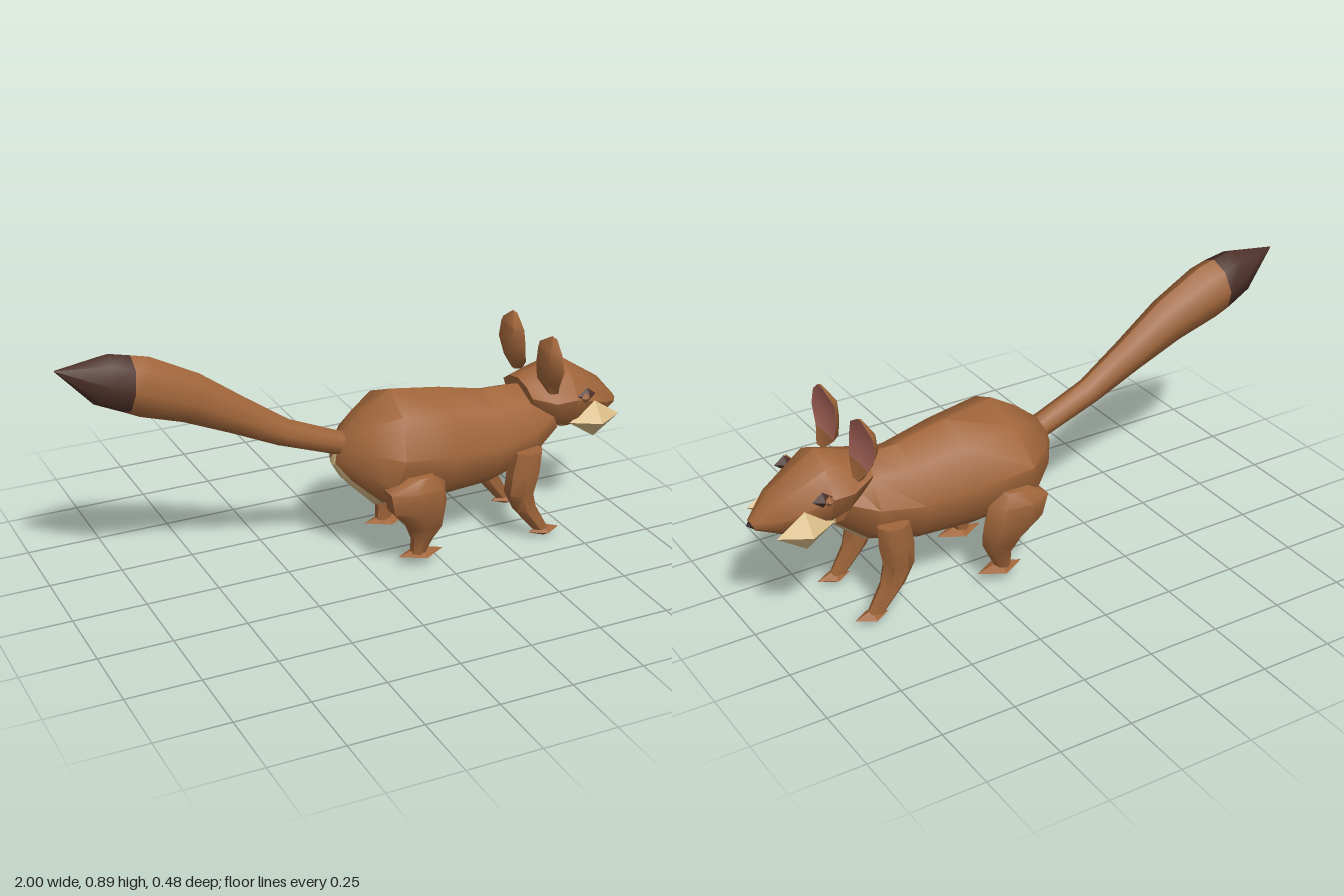
import * as THREE from 'three';
import { toCreasedNormals } from 'three/addons/utils/BufferGeometryUtils.js';

const mat = (name, color) => {
  const m = new THREE.MeshStandardMaterial({ color });
  m.name = name;
  return m;
};
const V = (x, y, z) => new THREE.Vector3(x, y, z);

// Skin a profile over rings {c, a, b}; a and b are the half-axes of each ring.
// paint(i, j) picks the material of the face after ring i and profile point j.
function loft(name, rings, profile, materials, paint = () => 0) {
  const n = profile.length, last = rings.length - 1;
  const axis = rings[last].c.clone().sub(rings[0].c);
  const flip = rings[1].a.clone().cross(rings[1].b).dot(axis) < 0;
  const pos = [], faces = materials.map(() => []);
  rings.forEach(({ c, a, b }) => profile.forEach(([u, v]) => {
    const p = c.clone().addScaledVector(a, v).addScaledVector(b, u);
    pos.push(p.x, p.y, p.z);
  }));
  rings.forEach(({ c }) => pos.push(c.x, c.y, c.z));
  const tri = (m, p, q, r) => faces[m].push(...(flip ? [p, r, q] : [p, q, r]));
  for (let j = 0; j < n; j++) {
    const k = (j + 1) % n, end = last * n, pole = (last + 1) * n;
    for (let i = 0; i < last; i++) {
      const m = paint(i, j), p = i * n + j, q = i * n + k;
      tri(m, p, q, q + n);
      tri(m, p, q + n, p + n);
    }
    tri(paint(0, j), pole, k, j);
    tri(paint(last - 1, j), pole + last, end + j, end + k);
  }
  const geo = new THREE.BufferGeometry();
  geo.setAttribute('position', new THREE.Float32BufferAttribute(pos, 3));
  geo.setIndex(faces.flat());
  let start = 0;
  faces.forEach((f, m) => { geo.addGroup(start, f.length, m); start += f.length; });
  const mesh = new THREE.Mesh(toCreasedNormals(geo, 0.85), materials);
  mesh.name = name;
  return mesh;
}

// Ring from its top point, bottom point and half-width
const spineRing = ([tx, ty, bx, by, w]) => ({
  c: V((tx + bx) / 2, (ty + by) / 2, 0), a: V((tx - bx) / 2, (ty - by) / 2, 0), b: V(0, 0, w),
});
// Level ring for limbs and ears
const levelRing = (s) => ([x, y, z, rx, rz]) => ({ c: V(x, y, z * s), a: V(rx, 0, 0), b: V(0, 0, rz * s) });
const circle = (n) => Array.from({ length: n }, (_, i) => {
  const t = (i / n) * Math.PI * 2;
  return [Math.sin(t), Math.cos(t)];
});
const mirrorProfile = (half) => [...half, ...half.slice(1).reverse().map(([u, v]) => [-u, v])];

export function createModel() {
  const fur = mat('brown fur', 0xa0653a);
  const cream = mat('cream fur', 0xd9bd88);
  const dark = mat('dark brown', 0x4b2f27);
  const pink = mat('ear pink', 0xb56c60);
  const black = mat('nose dark', 0x2e1c19);
  const model = new THREE.Group();

  const gem = (name, material, [x, y, z], [sx, sy, sz], yaw = 0) => {
    const geo = new THREE.OctahedronGeometry(1).scale(sx, sy, sz).rotateY(yaw);
    geo.translate(x, y, z);
    geo.computeVertexNormals();
    const mesh = new THREE.Mesh(geo, material);
    mesh.name = name;
    model.add(mesh);
  };

  // Body and head with a cream underside
  const trunk = mirrorProfile([[0, 1], [0.6, 0.72], [1, 0.1], [0.85, -0.5], [0.5, -0.85], [0.25, -1]]);
  const underside = (i, j) => (j >= 4 && j <= 6 ? 1 : 0);
  model.add(loft('body', [
    [-0.05, 0.48, -0.09, 0.37, 0.045],
    [0.03, 0.545, -0.05, 0.305, 0.13],
    [0.12, 0.6, 0.04, 0.215, 0.205],
    [0.3, 0.573, 0.25, 0.195, 0.195],
    [0.47, 0.535, 0.45, 0.203, 0.17],
    [0.6, 0.53, 0.62, 0.25, 0.145],
    [0.66, 0.51, 0.73, 0.34, 0.11],
  ].map(spineRing), trunk, [fur, cream], underside));
  model.add(loft('head', [
    [0.605, 0.55, 0.61, 0.46, 0.1],
    [0.68, 0.58, 0.7, 0.37, 0.13],
    [0.76, 0.605, 0.77, 0.35, 0.138],
    [0.92, 0.5, 0.9, 0.355, 0.085],
    [0.99, 0.42, 0.975, 0.385, 0.025],
  ].map(spineRing), trunk, [fur, cream], underside));
  gem('nose', black, [0.975, 0.405, 0], [0.025, 0.02, 0.03]);

  // Tail, thickening toward a dark pointed tip
  model.add(loft('tail', [
    [-0.03, 0.47, -0.06, 0.395, 0.04],
    [-0.24, 0.56, -0.28, 0.475, 0.042],
    [-0.39, 0.665, -0.44, 0.55, 0.054],
    [-0.54, 0.775, -0.6, 0.62, 0.07],
    [-0.7, 0.86, -0.74, 0.665, 0.083],
    [-0.76, 0.875, -0.79, 0.69, 0.085],
    [-0.83, 0.892, -0.885, 0.735, 0.068],
    [-1, 0.867, -1, 0.863, 0.003],
  ].map(spineRing), circle(8), [fur, dark], (i) => (i >= 5 ? 1 : 0)));

  const earProfile = [[0, 0.2], [1, 0.4], [0.55, -1], [-0.55, -1], [-1, 0.4]];
  for (const [side, s] of [['left', 1], ['right', -1]]) {
    const ring = levelRing(s);

    // Ear: pink cupped front, brown back and base
    model.add(loft(side + 'Ear', [
      [0.675, 0.53, 0.122, 0.018, 0.018],
      [0.655, 0.577, 0.113, 0.022, 0.063],
      [0.648, 0.638, 0.128, 0.022, 0.085],
      [0.647, 0.695, 0.126, 0.018, 0.074],
      [0.66, 0.735, 0.132, 0.006, 0.015],
    ].map(ring), earProfile, [fur, pink], (i, j) => (i > 0 && (j === 0 || j === 4) ? 1 : 0)));

    // Face details
    gem(side + 'Eye', dark, [0.8, 0.502, 0.133 * s], [0.035, 0.027, 0.022]);
    gem(side + 'Eyelid', fur, [0.785, 0.5, 0.15 * s], [0.018, 0.02, 0.015]);
    gem(side + 'Cheek', cream, [0.85, 0.396, 0.108 * s], [0.098, 0.066, 0.056]);

    // Front leg
    model.add(loft(side + 'FrontLeg', [
      [0.57, 0.348, 0.145, 0.055, 0.045],
      [0.56, 0.27, 0.14, 0.06, 0.052],
      [0.55, 0.19, 0.132, 0.052, 0.052],
      [0.575, 0.12, 0.132, 0.043, 0.038],
      [0.635, 0.035, 0.133, 0.03, 0.026],
    ].map(ring), circle(7), [fur]));
    gem(side + 'FrontPaw', fur, [0.652, 0.022, 0.133 * s], [0.06, 0.022, 0.036]);

    // Hind leg
    model.add(loft(side + 'HindLeg', [
      [0.145, 0.36, 0.17, 0.05, 0.045],
      [0.13, 0.315, 0.175, 0.11, 0.065],
      [0.145, 0.235, 0.165, 0.108, 0.07],
      [0.18, 0.16, 0.15, 0.07, 0.055],
      [0.178, 0.1, 0.137, 0.04, 0.033],
      [0.162, 0.04, 0.135, 0.025, 0.024],
    ].map(ring), circle(7), [fur]));
    gem(side + 'HindPaw', fur, [0.176, 0.042, 0.133 * s], [0.084, 0.022, 0.048]);
  }
  return model;
}
